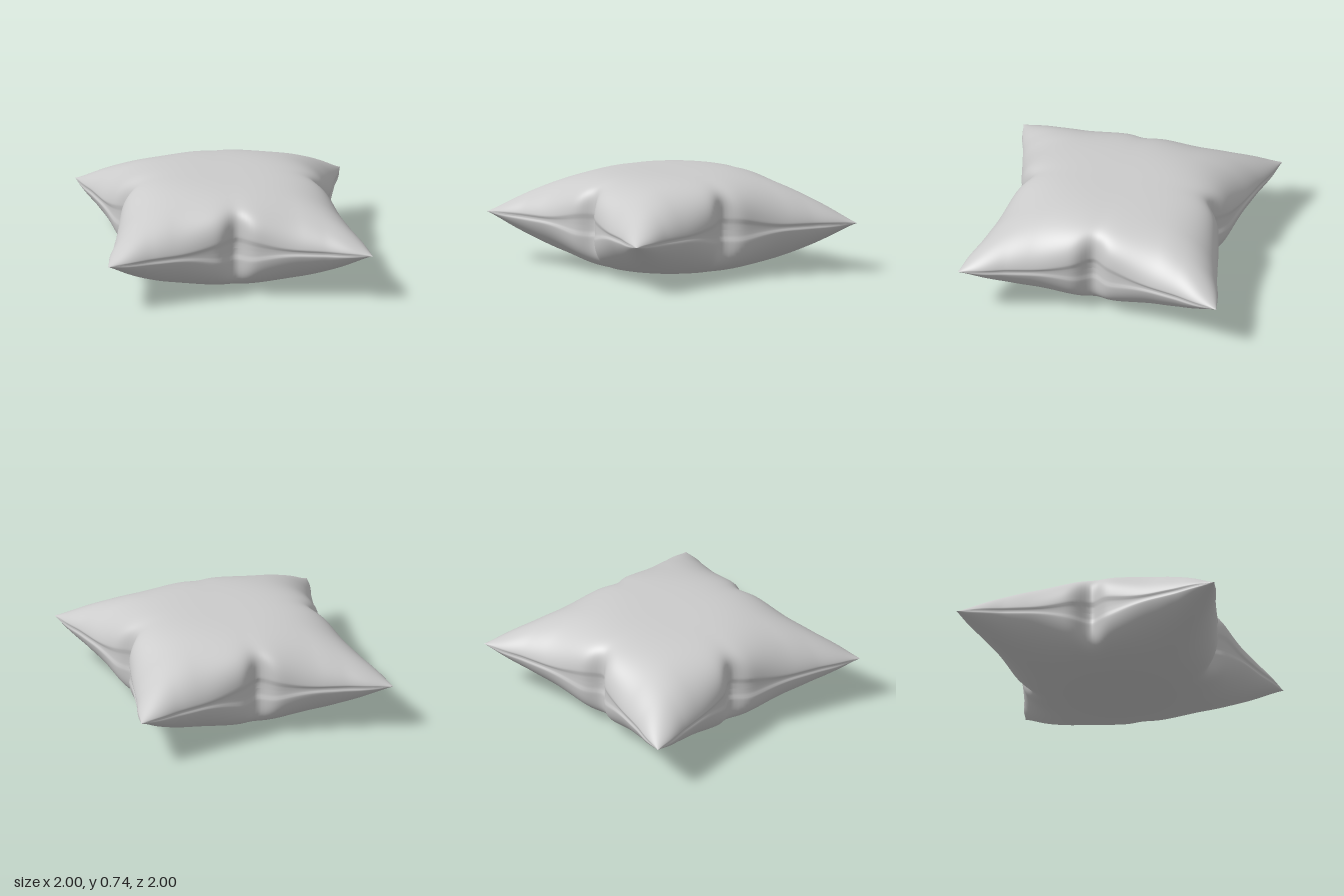
import * as THREE from 'three';

const { smoothstep } = THREE.MathUtils;
const N = 120;          // grid divisions per panel
const HALF = 0.368;     // half thickness, also the seam height

// How far an edge is drawn in at position t along it; the corners stay slightly blunt
function sag(t) {
  const m = Math.min(1, Math.sqrt(t * t + 0.002));
  return 0.23 * (1 - m) * (1 - 0.35 * smoothstep(m, 0.65, 0.9));
}

// Tight fold in the middle of an edge, centred at c
const tuck = (t, c) => 0.078 * Math.exp(-(((t - c) / 0.085) ** 2));

// Moves one coordinate inward: a is the coordinate, t the position along its edge
function drawIn(a, t, c) {
  const m = Math.abs(a);
  const groove = 0.012 * smoothstep(m, 0.996, 1) * (1 - t ** 4);
  return a * (1 - sag(t) * m - tuck(t, c) * m ** 6 - groove);
}

// Inflation falls off steeply at mid-edge and in straight ridges to the corners
function puff(a, t) {
  const power = 0.33 + 0.27 * smoothstep(Math.abs(t), 0.05, 0.5);
  return Math.pow(Math.max(0, 1 - Math.abs(a) ** 3), power);
}

// One cloth panel, up = 1 for the top and -1 for the bottom
function panel(up) {
  const geo = new THREE.PlaneGeometry(2, 2, N, N).rotateX(-up * Math.PI / 2);
  const p = geo.attributes.position;
  for (let i = 0; i < p.count; i++) {
    // Sine spacing packs rows close to the seam
    const u = Math.sin(p.getX(i) * Math.PI / 2);
    const v = Math.sin(p.getZ(i) * Math.PI / 2);
    const x = drawIn(u, v, u > 0 ? 0.03 : -0.04);
    const z = drawIn(v, u, v > 0 ? 0 : -0.025);
    p.setXYZ(i, x, HALF + up * HALF * puff(u, v) * puff(v, u), z);
  }
  geo.computeVertexNormals();
  return geo;
}

export function createModel() {
  const group = new THREE.Group();
  group.name = 'pillow';
  const cloth = new THREE.MeshStandardMaterial({ color: 0xcccccc, side: THREE.DoubleSide });
  for (const [name, up] of [['topPanel', 1], ['bottomPanel', -1]]) {
    const mesh = new THREE.Mesh(panel(up), cloth);
    mesh.name = name;
    group.add(mesh);
  }
  return group;
}
